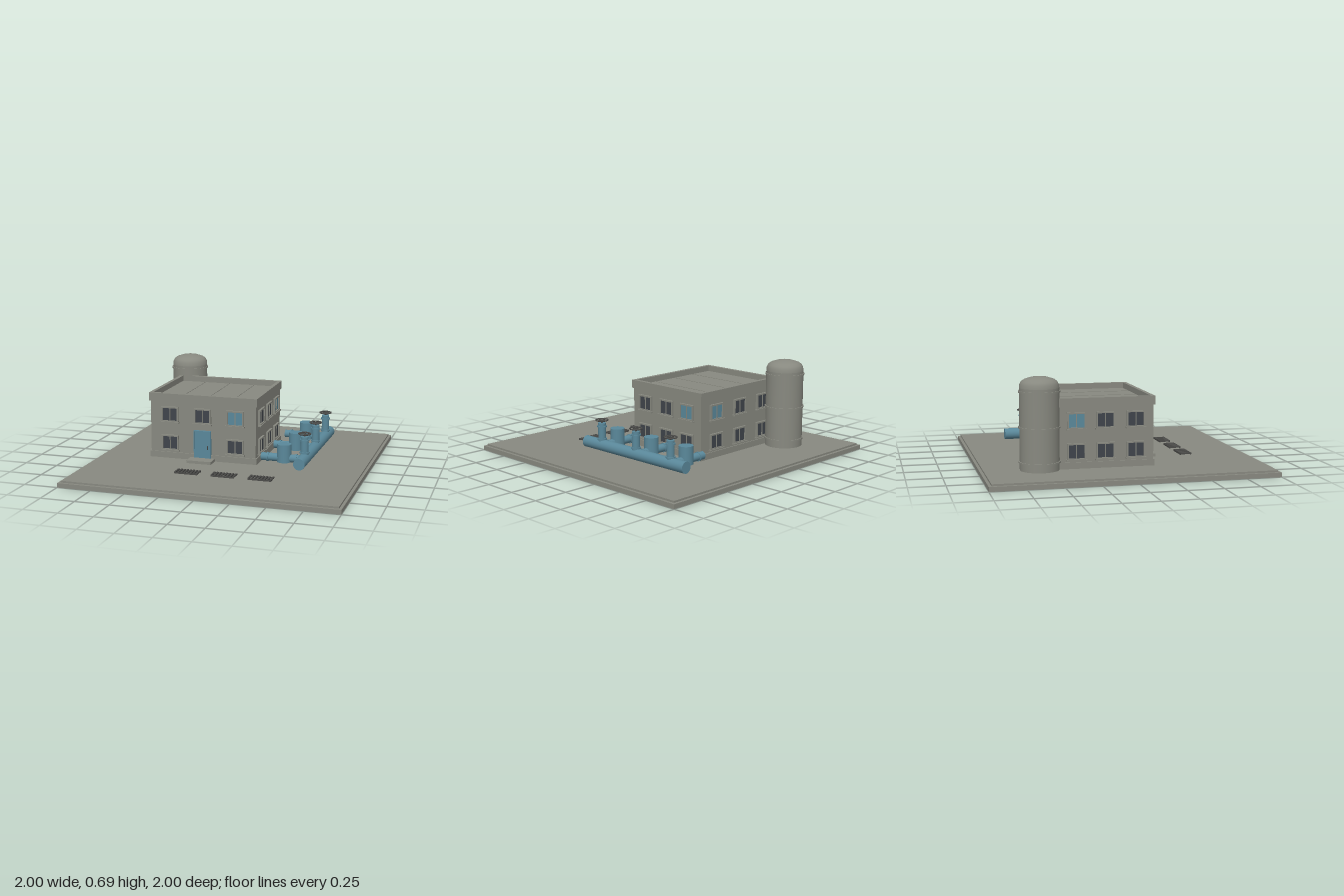
import * as THREE from 'three';

const mat = (name, color) => new THREE.MeshStandardMaterial({ name, color });

export function createModel() {
  const concrete = mat('concrete', 0x888980);
  const blue = mat('bluePaint', 0x5a889a);
  const glass = mat('darkGlass', 0x40444b);
  const iron = mat('darkIron', 0x4b4b49);
  const root = new THREE.Group();
  root.name = 'pumpStation';

  const add = (parent, name, geo, material, x = 0, y = 0, z = 0) => {
    const m = new THREE.Mesh(geo, material);
    m.name = name;
    m.position.set(x, y, z);
    parent.add(m);
    return m;
  };
  const group = (parent, name, x = 0, y = 0, z = 0, turn = 0) => {
    const g = new THREE.Group();
    g.name = name;
    g.position.set(x, y, z);
    g.rotation.y = turn;
    parent.add(g);
    return g;
  };
  // Box given by its limits
  const box = (parent, name, material, x0, x1, y0, y1, z0, z1) =>
    add(parent, name, new THREE.BoxGeometry(x1 - x0, y1 - y0, z1 - z0), material,
      (x0 + x1) / 2, (y0 + y1) / 2, (z0 + z1) / 2);
  const cyl = (parent, name, material, r, len, x, y, z, axis = 'y') => {
    const m = add(parent, name, new THREE.CylinderGeometry(r, r, len, 28), material, x, y, z);
    if (axis === 'x') m.rotation.z = Math.PI / 2;
    if (axis === 'z') m.rotation.x = Math.PI / 2;
    return m;
  };
  // Flat rectangular ring, extruded upwards
  const ring = (w, d, t, h) => {
    const s = new THREE.Shape([[-w, -d], [w, -d], [w, d], [-w, d]].map(p => new THREE.Vector2(p[0] / 2, p[1] / 2)));
    const a = w / 2 - t, b = d / 2 - t;
    s.holes.push(new THREE.Path([[-a, -b], [-a, b], [a, b], [a, -b]].map(p => new THREE.Vector2(...p))));
    return new THREE.ExtrudeGeometry(s, { depth: h, bevelEnabled: false });
  };

  // Ground slab
  box(root, 'slab', concrete, -1, 1, 0, 0.032, -1, 1);
  box(root, 'slabTop', concrete, -0.98, 0.98, 0.032, 0.045, -0.98, 0.98);

  // Building body, plinth, parapet and roof seams
  const cx = -0.205, cz = -0.14, hw = 0.405, hd = 0.34;
  const house = group(root, 'building', cx, 0, cz);
  box(house, 'walls', concrete, -hw, hw, 0.045, 0.493, -hd, hd);
  box(house, 'plinth', concrete, -hw - 0.008, hw + 0.008, 0.045, 0.09, -hd - 0.008, hd + 0.008);
  const parapet = add(house, 'parapet', ring(0.83, 0.7, 0.028, 0.06), concrete, 0, 0.475, 0);
  parapet.rotation.x = -Math.PI / 2;
  for (const x of [-0.2, 0, 0.2]) box(house, 'roofSeam', concrete, x - 0.003, x + 0.003, 0.493, 0.496, -0.32, 0.32);

  // Window facing +z with its back on the wall
  const buildWindow = (parent, x, y, pane) => {
    const w = group(parent, 'window', x, y, 0);
    add(w, 'windowFrame', ring(0.132, 0.116, 0.011, 0.016), concrete);
    box(w, 'pane', pane, -0.056, 0.056, -0.048, 0.048, 0, 0.006);
    box(w, 'mullion', concrete, -0.003, 0.003, -0.048, 0.048, 0.004, 0.011);
    box(w, 'sill', concrete, -0.073, 0.073, -0.064, -0.054, 0, 0.024);
  };
  // Each wall: distance from centre, turn, window positions; the lit pane sits at index `lit`
  const walls = [
    ['frontWall', hd, 0, [-0.253, 0, 0.25], 2],
    ['backWall', hd, Math.PI, [-0.25, 0, 0.253], 0],
    ['leftWall', hw, Math.PI / 2, [-0.213, 0.003, 0.207], 2],
    ['rightWall', hw, -Math.PI / 2, [-0.207, -0.003, 0.213], 0],
  ];
  for (const [name, dist, turn, xs, lit] of walls) {
    const wall = group(house, name, Math.sin(turn) * dist, 0, Math.cos(turn) * dist, turn);
    xs.forEach((x, i) => {
      buildWindow(wall, x, 0.379, i === lit ? blue : glass);
      if (name !== 'frontWall' || i !== 1) buildWindow(wall, x, 0.165, glass);
    });
  }

  // Door with frame, handle and step
  const door = group(root, 'entrance', cx, 0, 0.2);
  box(door, 'door', blue, -0.058, 0.058, 0.065, 0.267, 0, 0.014);
  for (const s of [-1, 1]) box(door, 'doorJamb', blue, s * 0.061 - 0.004, s * 0.061 + 0.004, 0.065, 0.272, 0, 0.02);
  box(door, 'doorHead', blue, -0.065, 0.065, 0.264, 0.272, 0, 0.02);
  box(door, 'doorHandle', iron, 0.039, 0.045, 0.135, 0.16, 0.014, 0.026);
  box(door, 'doorStep', concrete, -0.094, 0.094, 0.045, 0.066, 0, 0.105);

  // Storage tank with domed top and bands
  const tank = group(root, 'tank', -0.58, 0, -0.597);
  cyl(tank, 'tankShell', concrete, 0.137, 0.565, 0, 0.3275, 0);
  const dome = [[0.137, 0.61], [0.134, 0.633], [0.124, 0.653], [0.105, 0.667], [0.06, 0.682], [0, 0.687]];
  add(tank, 'tankDome', new THREE.LatheGeometry(dome.map(p => new THREE.Vector2(...p)), 32), concrete);
  for (const y of [0.1, 0.34, 0.585]) cyl(tank, 'tankBand', concrete, 0.144, 0.012, 0, y, 0);

  // Main pipe
  const px = 0.555;
  const pipes = group(root, 'pipework');
  cyl(pipes, 'mainPipe', blue, 0.042, 1.01, px, 0.11, -0.173, 'z');

  // Branches: pump, flanges, riser and handwheel
  for (const z of [-0.53, -0.19, 0.165]) {
    const b = group(pipes, 'branch', 0, 0, z);
    cyl(b, 'branchPipe', blue, 0.029, 0.315, 0.393, 0.105, 0, 'x');
    for (const x of [0.284, 0.495]) cyl(b, 'flange', blue, 0.034, 0.012, x, 0.105, 0, 'x');
    cyl(b, 'pump', blue, 0.052, 0.132, 0.404, 0.143, 0);
    cyl(b, 'riser', blue, 0.028, 0.165, px, 0.193, 0);
    for (const y of [0.157, 0.25]) cyl(b, 'riserFlange', blue, 0.035, 0.01, px, y, 0);
    cyl(b, 'stem', iron, 0.006, 0.024, px, 0.286, 0);
    const wheel = group(b, 'handwheel', px, 0.296, 0);
    add(wheel, 'rim', new THREE.TorusGeometry(0.043, 0.005, 8, 28), iron).rotation.x = Math.PI / 2;
    box(wheel, 'spoke', iron, -0.043, 0.043, -0.003, 0.003, -0.003, 0.003);
    box(wheel, 'spoke', iron, -0.003, 0.003, -0.003, 0.003, -0.043, 0.043);
  }

  // Drain grates
  for (const x of [-0.205, 0.065, 0.335]) {
    const g = group(root, 'grate', x, 0.045, 0.54);
    for (let i = 0; i < 8; i++) {
      const bx = -0.08 + i * 0.16 / 7;
      box(g, 'grateBar', iron, bx - 0.006, bx + 0.006, 0.004, 0.014, -0.042, 0.042);
    }
    for (const z of [-0.039, 0.039]) box(g, 'grateRail', iron, -0.085, 0.085, 0, 0.01, z - 0.003, z + 0.003);
  }

  return root;
}
